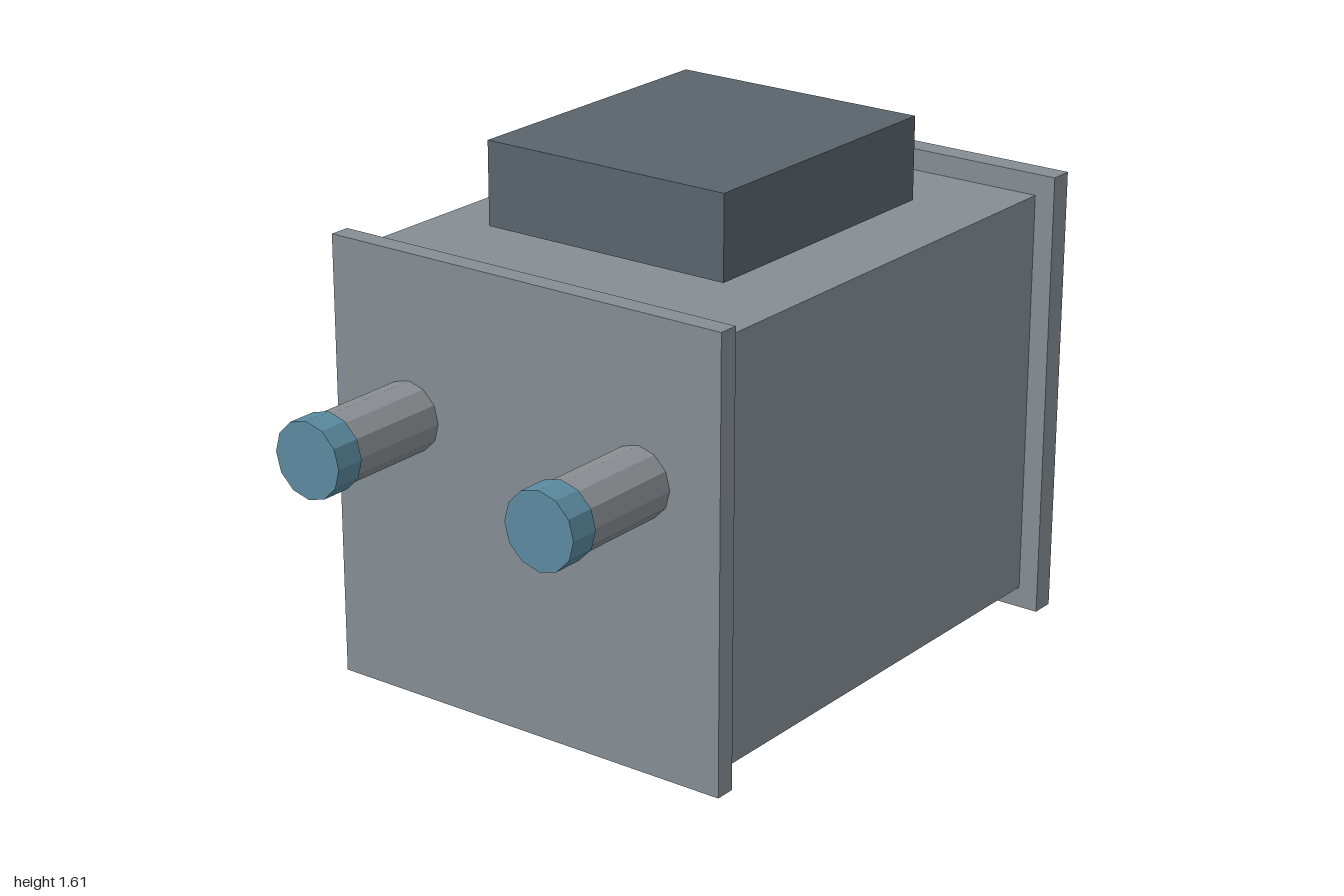
import * as THREE from 'three';

const paint = (name, color) => {
  const m = new THREE.MeshStandardMaterial({ color, flatShading: true });
  m.name = name;
  return m;
};

export function createModel() {
  const model = new THREE.Group();
  model.name = 'machineCabinet';

  const casing = paint('casing grey', 0x858e94);
  const dark = paint('dark grey', 0x5a646b);
  const steel = paint('pipe steel', 0x8a8e92);
  const blue = paint('blue', 0x5b8a9f);
  const tan = paint('tan', 0x938b74);

  const add = (name, geometry, material) => {
    const mesh = new THREE.Mesh(geometry, material);
    mesh.name = name;
    model.add(mesh);
    return mesh;
  };

  // Box given by its limits on each axis
  const box = (name, [x0, x1], [y0, y1], [z0, z1], material) =>
    add(name, new THREE.BoxGeometry(x1 - x0, y1 - y0, z1 - z0), material)
      .position.set((x0 + x1) / 2, (y0 + y1) / 2, (z0 + z1) / 2);

  // Twelve-sided rod lying along z
  const rod = (name, r, x, y, [z0, z1], material) => {
    const g = new THREE.CylinderGeometry(r, r, z1 - z0, 12).rotateX(Math.PI / 2);
    add(name, g, material).position.set(x, y, (z0 + z1) / 2);
  };

  // Cabinet with its overhanging end plates
  box('cabinet', [-0.6, 0.6], [0.157, 1.348], [-0.93, 0.54], casing);
  box('frontPlate', [-0.64, 0.64], [0.115, 1.39], [0.54, 0.6], casing);
  box('backPlate', [-0.66, 0.66], [0.095, 1.41], [-1, -0.93], casing);

  // Blocks above and below the cabinet
  box('topBlock', [-0.39, 0.39], [1.37, 1.61], [-0.63, 0.25], dark);
  box('undersideBlock', [-0.28, 0.28], [0.05, 0.138], [-0.967, -0.41], dark);

  // Paired parts on both sides
  for (const [side, s] of [['left', 1], ['right', -1]]) {
    const x = 0.383 * s;
    rod(`${side}Pipe`, 0.1, x, 0.932, [0.6, 0.912], steel);
    rod(`${side}PipeCap`, 0.109, x, 0.932, [0.912, 1], blue);
    rod(`${side}Roller`, 0.06, x, 0.06, [-0.96, -0.82], tan);
    box(`${side}UndersidePad`, [x - 0.06, x + 0.06], [0.11, 0.148], [-0.19, 0.11], blue);
  }

  return model;
}
